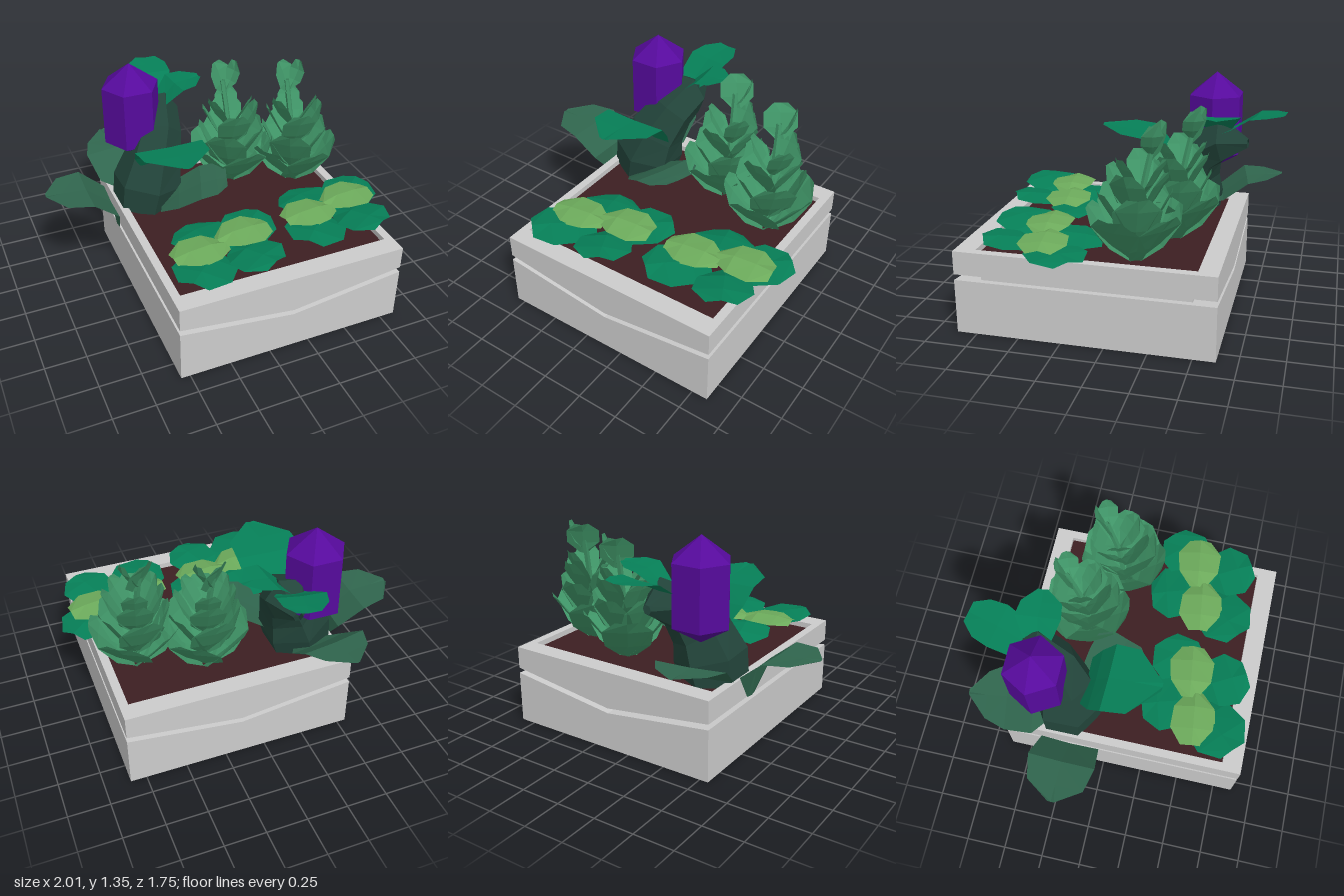
import * as THREE from 'three';

const V = (p) => new THREE.Vector3(...p);
const mat = (color) => new THREE.MeshStandardMaterial({ color, flatShading: true, side: THREE.DoubleSide });
const GREY = mat(0xcccccc), SOIL = mat(0x3d1f22), PURPLE = mat(0x560a9c);
const DARK = mat(0x22443a), DEEP = mat(0x30664e), EMERALD = mat(0x067f57), LIGHT = mat(0x6caa5b), PAD = mat(0x409668);

function add(parent, name, geometry, material) {
  const m = new THREE.Mesh(geometry, material);
  m.name = name;
  parent.add(m);
  return m;
}

// Faceted leaf: rows of three points along a path, folded along the midrib
function leaf(parent, name, material, path, widths, fold = 0.006) {
  const pts = path.map(V), n = pts.length;
  const d = pts[n - 1].clone().sub(pts[0]).setY(0).normalize();
  const side = new THREE.Vector3(d.z, 0, -d.x);
  const pos = [], idx = [];
  pts.forEach((p, i) => {
    const t = pts[Math.min(i + 1, n - 1)].clone().sub(pts[Math.max(i - 1, 0)]).normalize();
    const normal = t.cross(side);
    for (const s of [-1, 0, 1]) {
      const q = p.clone().addScaledVector(side, s * widths[i] / 2);
      q.addScaledVector(normal, s === 0 ? -fold : 0);
      pos.push(q.x, q.y, q.z);
    }
    if (i < n - 1) for (const k of [0, 1]) {
      const a = i * 3 + k;
      idx.push(a, a + 1, a + 4, a, a + 4, a + 3);
    }
  });
  const g = new THREE.BufferGeometry();
  g.setAttribute('position', new THREE.Float32BufferAttribute(pos, 3));
  g.setIndex(idx);
  g.computeVertexNormals();
  return add(parent, name, g, material);
}

// Vertical slab: an x-y outline extruded from z0 to z1
function slab(parent, name, outline, z0, z1) {
  const shape = new THREE.Shape(outline.map(([x, y]) => new THREE.Vector2(x, y)));
  const g = new THREE.ExtrudeGeometry(shape, { depth: z1 - z0, bevelEnabled: false });
  g.translate(0, 0, z0);
  return add(parent, name, g, GREY);
}

function box(parent, name, [x0, x1], [y0, y1], [z0, z1], material) {
  const g = new THREE.BoxGeometry(x1 - x0, y1 - y0, z1 - z0);
  g.translate((x0 + x1) / 2, (y0 + y1) / 2, (z0 + z1) / 2);
  return add(parent, name, g, material);
}

function planter() {
  const g = new THREE.Group();
  g.name = 'planter';
  const L = -0.555, R = 0.847, M = 0.145;
  // Lower block, recessed core and upper rim leave a V-shaped groove
  slab(g, 'lowerBlock', [[L, 0], [R, 0], [R, 0.325], [M, 0.235], [L, 0.325]], -0.63, 0.87);
  box(g, 'core', [-0.51, 0.8], [0.22, 0.44], [-0.49, 0.725], GREY);
  const rim = [[L, 0.36], [M, 0.267], [R, 0.36], [R, 0.5], [L, 0.5]];
  slab(g, 'frontRim', rim, 0.75, 0.87);
  slab(g, 'backRim', rim, -0.63, -0.515);
  box(g, 'rightRim', [L, -0.505], [0.36, 0.5], [-0.515, 0.75], GREY);
  box(g, 'leftRim', [0.795, R], [0.36, 0.5], [-0.515, 0.75], GREY);
  box(g, 'soil', [-0.506, 0.796], [0.4, 0.465], [-0.516, 0.751], SOIL);
  return g;
}

function crystal() {
  const profile = [[0, 0.73], [0.18, 0.84], [0.18, 1.21], [0, 1.35]].map(([r, y]) => new THREE.Vector2(r, y));
  const g = new THREE.LatheGeometry(profile, 6, Math.PI / 2);
  g.translate(-0.37, 0, -0.42);
  const m = new THREE.Mesh(g, PURPLE);
  m.name = 'crystal';
  return m;
}

function tallPlant() {
  const g = new THREE.Group();
  g.name = 'tallPlant';
  // Thick bent trunk: tube whose rings are scaled along its length
  const curve = new THREE.CatmullRomCurve3(
    [[-0.37, 0.44, -0.26], [-0.32, 0.66, -0.27], [-0.24, 0.84, -0.33], [-0.19, 0.95, -0.46], [-0.17, 0.95, -0.65]].map(V));
  const radii = [0.2, 0.22, 0.18, 0.15, 0.14, 0.03], seg = 5, sides = 6;
  const trunk = new THREE.TubeGeometry(curve, seg, 1, sides);
  const p = trunk.attributes.position, v = new THREE.Vector3();
  for (let i = 0; i < p.count; i++) {
    const ring = Math.floor(i / (sides + 1)), c = curve.getPointAt(ring / seg);
    v.fromBufferAttribute(p, i).sub(c).multiplyScalar(radii[ring]).add(c);
    p.setXYZ(i, v.x, v.y, v.z);
  }
  trunk.computeVertexNormals();
  add(g, 'trunk', trunk, DARK);

  // Lower leaves rise from the base and flatten out
  leaf(g, 'lowerLeafRight', DEEP, [[-0.57, 0.37, -0.19], [-0.6, 0.55, -0.19], [-0.75, 0.675, -0.2], [-0.9, 0.685, -0.2], [-1, 0.69, -0.2]], [0.08, 0.36, 0.41, 0.34, 0.04]);
  leaf(g, 'lowerLeafBack', DEEP, [[-0.38, 0.5, -0.38], [-0.41, 0.55, -0.47], [-0.43, 0.67, -0.62], [-0.45, 0.68, -0.74], [-0.46, 0.69, -0.85]], [0.2, 0.38, 0.42, 0.3, 0.03]);
  leaf(g, 'lowerLeafLeft', DEEP, [[-0.3, 0.5, -0.12], [-0.2, 0.58, -0.07], [-0.07, 0.66, -0.02], [0.03, 0.675, 0], [0.09, 0.68, 0.02]], [0.2, 0.34, 0.38, 0.36, 0.2]);
  // Crown leaves
  leaf(g, 'crownLeafFront', EMERALD, [[-0.26, 0.78, -0.16], [-0.27, 0.87, -0.1], [-0.27, 0.965, -0.02], [-0.27, 0.985, 0.13], [-0.27, 1, 0.3]], [0.3, 0.38, 0.42, 0.4, 0.05]);
  leaf(g, 'crownLeafBack', EMERALD, [[-0.19, 1, -0.47], [-0.18, 1.05, -0.57], [-0.16, 1.13, -0.69], [-0.14, 1.145, -0.79], [-0.12, 1.155, -0.87]], [0.12, 0.24, 0.28, 0.25, 0.13]);
  leaf(g, 'crownLeafLeft', EMERALD, [[-0.2, 1, -0.46], [-0.13, 1.07, -0.47], [-0.06, 1.135, -0.48], [0.03, 1.145, -0.48], [0.11, 1.15, -0.49]], [0.12, 0.2, 0.27, 0.24, 0.06]);
  return g;
}

// Low cluster of broad leaves; each row: name, material, root xz, tip xz, width, root y, tip y
const SPREAD = [
  ['frontRight', EMERALD, -0.04, 0.04, -0.3, 0.31, 0.36, 0.51, 0.575],
  ['frontLeft', EMERALD, 0.06, 0.03, 0.2, 0.31, 0.34, 0.51, 0.575],
  ['backLeft', EMERALD, 0.05, 0.03, 0.34, -0.23, 0.34, 0.5, 0.53],
  ['backRight', EMERALD, -0.03, 0.02, -0.11, -0.29, 0.36, 0.53, 0.5],
  ['upperRight', LIGHT, 0.02, 0.02, -0.32, 0.06, 0.28, 0.555, 0.565],
  ['upperLeft', LIGHT, -0.02, -0.01, 0.31, -0.05, 0.28, 0.565, 0.565],
];
function lowCluster(x, z) {
  const g = new THREE.Group();
  g.name = 'lowCluster';
  for (const [name, m, x0, z0, x1, z1, w, y0, y1] of SPREAD) {
    const path = [0, 0.3, 0.7, 1].map((t, i) =>
      [x0 + (x1 - x0) * t, y0 + (y1 - y0) * t + [0, 0.02, 0.015, 0][i], z0 + (z1 - z0) * t]);
    leaf(g, name + 'Leaf', m, path, [0.35 * w, 0.9 * w, w, 0.5 * w], -0.02);
  }
  g.position.set(x, 0, z);
  return g;
}

// Upright succulent: tiers of broad rounded pads around a backward-leaning stalk
const TIERS = [ // count, base y, tip y, reach, width, start angle
  [5, 0.47, 0.77, 0.26, 0.31, 0.3],
  [5, 0.56, 0.88, 0.2, 0.27, 0.93],
  [4, 0.72, 1.0, 0.17, 0.21, 0.2],
  [3, 0.84, 1.07, 0.14, 0.15, 0.75],
];
function succulent(x, z) {
  const g = new THREE.Group();
  g.name = 'succulent';
  const lean = (y) => -0.15 * Math.max(0, y - 0.6);
  for (const [n, y0, y1, r, w, a0] of TIERS)
    for (let k = 0; k < n; k++) {
      const a = a0 + k * Math.PI * 2 / n, c = Math.cos(a), s = Math.sin(a);
      const path = [[0.05, 0], [0.42, 0.33], [0.8, 0.75], [1, 1]].map(([q, h]) =>
        [c * r * q, y0 + (y1 - y0) * h, s * r * q + lean(y0)]);
      leaf(g, 'pad', PAD, path, [0.35 * w, 0.9 * w, w, 0.45 * w], 0.012);
    }
  const stalk = new THREE.CatmullRomCurve3([[0, 0.47, 0], [0, 0.8, -0.03], [-0.02, 1.14, -0.1]].map(V));
  add(g, 'stalk', new THREE.TubeGeometry(stalk, 4, 0.018, 5), PAD);
  // Rounded tip pads, turned a little to the side
  leaf(g, 'tipPad', PAD, [[0, 1.05, -0.085], [-0.01, 1.12, -0.1], [-0.03, 1.2, -0.125], [-0.045, 1.25, -0.15]], [0.05, 0.2, 0.2, 0.08], 0.012);
  leaf(g, 'tipPadSide', PAD, [[-0.01, 1.08, -0.09], [0.03, 1.13, -0.1], [0.06, 1.19, -0.11], [0.07, 1.25, -0.12]], [0.04, 0.12, 0.12, 0.05], 0.01);
  g.position.set(x, 0, z);
  return g;
}

export function createModel() {
  const model = new THREE.Group();
  model.name = 'planterWithCrystal';
  model.add(planter(), crystal(), tallPlant());
  model.add(lowCluster(-0.14, 0.48), lowCluster(0.61, 0.385));
  model.add(succulent(0.25, -0.28), succulent(0.63, -0.13));
  return model;
}
